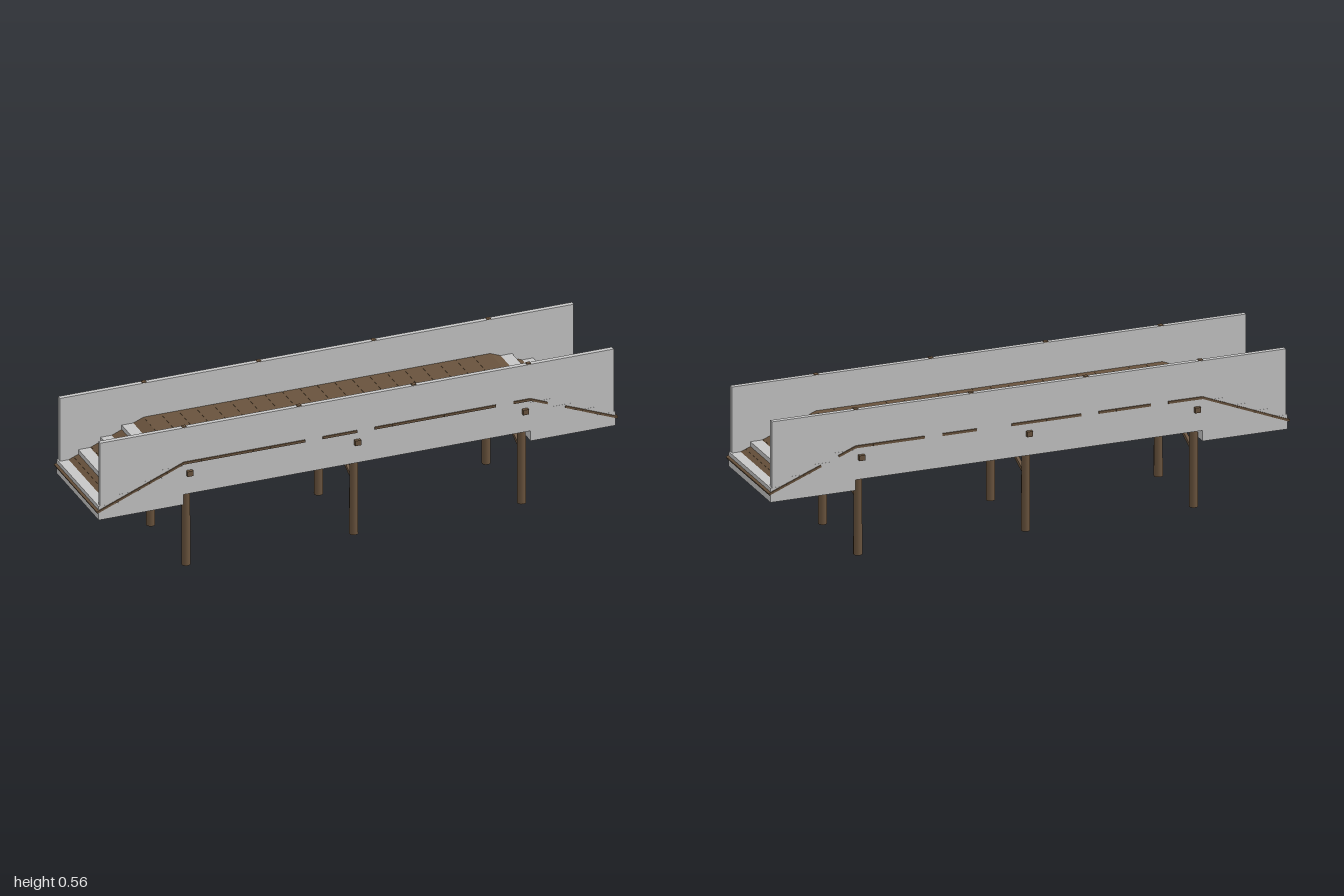
import * as THREE from 'three';

export function createModel() {
  const model = new THREE.Group();
  model.name = 'footbridge';

  const grey = new THREE.MeshStandardMaterial({ color: 0xc6c6c6 });
  grey.name = 'pale grey';
  const brown = new THREE.MeshStandardMaterial({ color: 0x69533d });
  brown.name = 'timber brown';

  const add = (name, geometry, material, x, y, z) => {
    const mesh = new THREE.Mesh(geometry, material);
    mesh.name = name;
    mesh.position.set(x, y, z);
    model.add(mesh);
    return mesh;
  };
  // box given by its minimum and maximum along each axis
  const box = (name, material, x0, x1, y0, y1, z0, z1) =>
    add(name, new THREE.BoxGeometry(x1 - x0, y1 - y0, z1 - z0), material,
      (x0 + x1) / 2, (y0 + y1) / 2, (z0 + z1) / 2);

  // deck slab and its timber planks; a few planks stop short of the wall faces
  box('deckSlab', grey, -0.67, 0.67, 0.363, 0.41, -0.19, 0.19);
  const planks = 20, pitch = 1.33 / planks;
  const shortFront = [7, 10, 18], shortBack = [2, 6, 11, 12, 15];
  for (let i = 0; i < planks; i++) {
    const x = -0.665 + i * pitch;
    box('deckPlank', brown, x + 0.0004, x + pitch - 0.0004, 0.416, 0.425,
      shortBack.includes(i) ? -0.196 : -0.203, shortFront.includes(i) ? 0.196 : 0.203);
  }

  // solid steps at both ends, crossed by sloping planks
  const treads = [[0.99, 0.31], [0.914, 0.343], [0.829, 0.376], [0.748, 0.409]];
  const slopeLength = Math.hypot(0.335, 0.134), slope = Math.atan2(0.134, 0.335);
  for (const side of [1, -1]) {
    const profile = new THREE.Shape();
    profile.moveTo(0.665, 0.255);
    profile.lineTo(0.99, 0.255);
    treads.forEach(([x, y], i) => {
      if (i) profile.lineTo(x, treads[i - 1][1]);
      profile.lineTo(x, y);
    });
    profile.lineTo(0.665, 0.409);
    const steps = add('steps', new THREE.ExtrudeGeometry(profile,
      { depth: 0.398, bevelEnabled: false }), grey, 0, 0, side * -0.199);
    if (side < 0) steps.rotation.y = Math.PI;

    for (let i = 0; i < 5; i++) {
      const t = (i + 0.5) / 5;
      const short = side > 0 && i === 3;
      const plank = add('rampPlank',
        new THREE.BoxGeometry(slopeLength / 5 - 0.0006, 0.008, short ? 0.392 : 0.406),
        brown, side * (0.998 - 0.335 * t), 0.287 + 0.134 * t, 0);
      plank.rotation.z = -side * slope;
    }
  }

  // parapet walls with the railing post tips showing above them
  for (const side of [1, -1]) {
    add('parapet', new THREE.BoxGeometry(1.968, 0.265, 0.018), grey, 0, 0.4275, side * 0.1895);
    for (const x of [-0.66, -0.22, 0.22, 0.66]) {
      add('railPost', new THREE.BoxGeometry(0.016, 0.17, 0.016), brown, x, 0.478, side * 0.189);
    }
  }

  // trestles: two round legs, a cross beam and crossed braces
  for (const x of [-0.643, 0, 0.643]) {
    for (const side of [1, -1]) {
      add('leg', new THREE.CylinderGeometry(0.015, 0.0165, 0.38, 12), brown, x, 0.19, side * 0.167);
      const brace = add('brace', new THREE.BoxGeometry(0.012, 0.014, 0.36),
        brown, x + side * 0.006, 0.272, 0);
      brace.rotation.x = side * Math.atan(0.44);
    }
    add('crossBeam', new THREE.BoxGeometry(0.022, 0.02, 0.424), brown, x, 0.379, 0);
  }

  return model;
}
